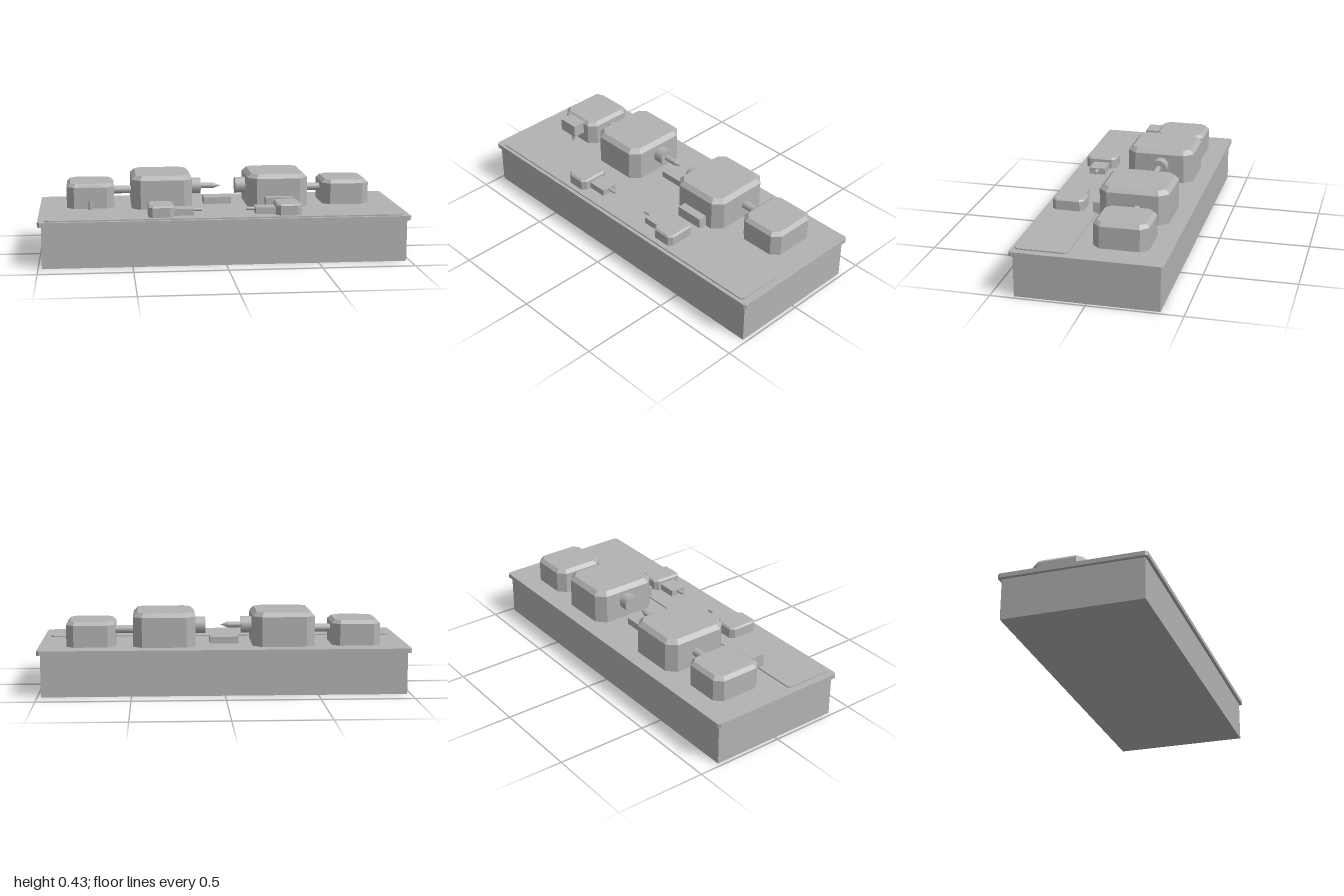
import * as THREE from 'three';

export function createModel() {
  const model = new THREE.Group();
  const grey = new THREE.MeshStandardMaterial({ color: 0xb2b2b2 });
  grey.name = 'plain grey';

  function add(name, geometry, x = 0, y = 0, z = 0) {
    const mesh = new THREE.Mesh(geometry, grey);
    mesh.name = name;
    mesh.position.set(x, y, z);
    model.add(mesh);
    return mesh;
  }

  // Box given by its limits on each axis
  function box(name, x0, x1, y0, y1, z0, z1) {
    return add(name, new THREE.BoxGeometry(x1 - x0, y1 - y0, z1 - z0),
      (x0 + x1) / 2, (y0 + y1) / 2, (z0 + z1) / 2);
  }

  // Rod along x; r1 is the radius at the +x end
  function rod(name, x0, x1, y, z, r0, r1 = r0) {
    const geometry = new THREE.CylinderGeometry(r1, r0, x1 - x0, 16);
    geometry.rotateZ(-Math.PI / 2);
    return add(name, geometry, (x0 + x1) / 2, y, z);
  }

  // Block with cut corners and an optional sloped edge around the top
  function block(name, x0, x1, y0, y1, z0, z1, cut, bevel = 0) {
    const ring = (y, inset) => {
      const w = (x1 - x0) / 2 - inset, d = (z1 - z0) / 2 - inset;
      const c = cut - inset * 0.586;
      return [[w, d - c], [w, c - d], [w - c, -d], [c - w, -d],
        [-w, c - d], [-w, d - c], [c - w, d], [w - c, d]].map(([x, z]) => [x, y, z]);
    };
    const rings = [ring(y0, 0), ring(y1 - bevel, 0)];
    if (bevel) rings.push(ring(y1, bevel));
    const points = [];
    for (let k = 0; k < rings.length - 1; k++) {
      for (let i = 0; i < 8; i++) {
        const j = (i + 1) % 8;
        const [a, b, c, d] = [rings[k][i], rings[k][j], rings[k + 1][j], rings[k + 1][i]];
        points.push(a, b, c, a, c, d);
      }
    }
    const top = rings[rings.length - 1], bottom = rings[0];
    for (let i = 1; i < 7; i++) {
      points.push(top[0], top[i], top[i + 1], bottom[0], bottom[i + 1], bottom[i]);
    }
    const geometry = new THREE.BufferGeometry();
    geometry.setAttribute('position', new THREE.Float32BufferAttribute(points.flat(), 3));
    geometry.computeVertexNormals();
    return add(name, geometry, (x0 + x1) / 2, 0, (z0 + z1) / 2);
  }

  // Base, table top and raised front strip
  box('base', -0.98, 0.98, 0, 0.226, -0.378, 0.378);
  block('tableTop', -1, 1, 0.226, 0.25, -0.395, 0.395, 0.012);
  block('frontStrip', -0.96, 0.96, 0.25, 0.257, 0.1, 0.375, 0.015);

  // Machine housings and shafts, mirrored left and right
  for (const [side, s] of [['left', 1], ['right', -1]]) {
    const span = (a, b) => (s > 0 ? [a, b] : [-b, -a]);
    block(side + 'LargeHousing', ...span(0.155, 0.491), 0.25, 0.434, -0.305, 0.071, 0.048, 0.023);
    block(side + 'SmallHousing', ...span(0.587, 0.85), 0.25, 0.387, -0.282, 0.008, 0.04, 0.019);
    block(side + 'MiniHousing', ...span(0.275, 0.413), 0.257, 0.318, 0.171, 0.346, 0.022, 0.009);
    rod(side + 'Coupling', ...span(0.48, 0.6), 0.33, -0.14, 0.022);
    rod(side + 'Hub', ...span(0.098, 0.165), 0.348, -0.125, 0.046);
    box(side + 'MiniGearBox', ...span(0.168, 0.28), 0.257, 0.293, 0.205, 0.297);
    rod(side + 'MiniShaft', ...span(0.12, 0.175), 0.281, 0.25, 0.009);
  }

  // Pointed shaft from the right hub
  rod('shaft', -0.105, -0.025, 0.348, -0.124, 0.016);
  rod('shaftTip', -0.025, 0.014, 0.348, -0.124, 0.016, 0.001);

  // Loose boxes on the table
  box('centreBlock', -0.082, 0.074, 0.25, 0.287, -0.173, -0.073);
  box('sideBox', 0.245, 0.405, 0.25, 0.314, 0.06, 0.12);

  // Control box on a short post
  box('controlBox', -0.78, -0.663, 0.307, 0.378, 0.0, 0.078);
  add('controlPost', new THREE.CylinderGeometry(0.01, 0.01, 0.06, 12), -0.72, 0.279, 0.04);

  return model;
}
